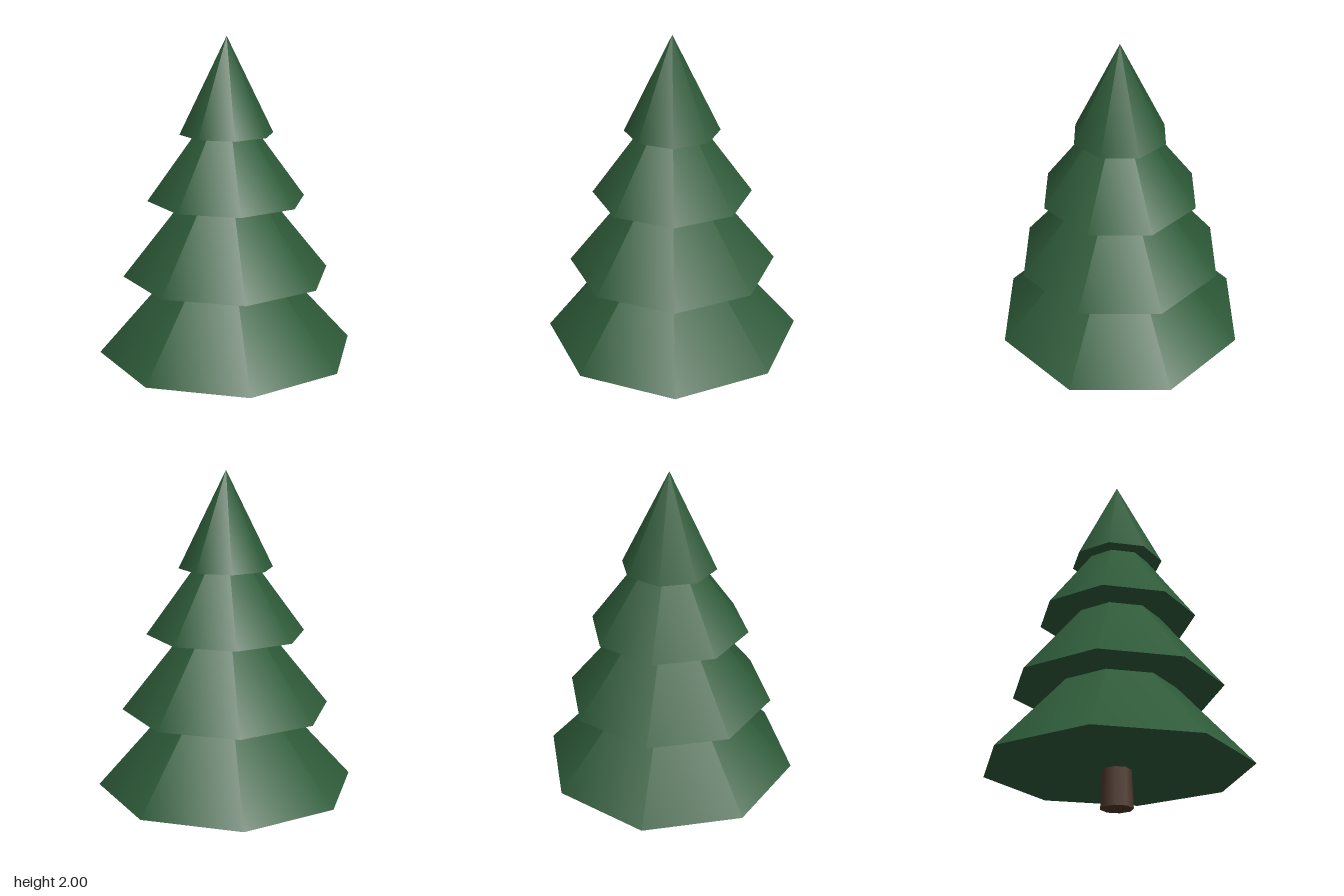
import * as THREE from 'three';

const SIDES = 8;

export function createModel() {
  const tree = new THREE.Group();
  tree.name = 'pineTree';

  const needles = new THREE.MeshStandardMaterial({ color: 0x2d5a38 });
  needles.name = 'needle green';
  const bark = new THREE.MeshStandardMaterial({ color: 0x4a3528 });
  bark.name = 'bark brown';

  // Slightly tapered trunk, running up into the lowest tier
  const trunkHeight = 0.4;
  const trunk = new THREE.Mesh(new THREE.CylinderGeometry(0.07, 0.09, trunkHeight, SIDES), bark);
  trunk.name = 'trunk';
  trunk.position.y = trunkHeight / 2;
  tree.add(trunk);

  // Overlapping foliage cones: base radius, base height, tip height
  const tiers = [
    [0.74, 0.21, 1.03],
    [0.595, 0.66, 1.4],
    [0.45, 1.095, 1.71],
    [0.265, 1.465, 2.0],
  ];
  tiers.forEach(([radius, base, tip], i) => {
    const cone = new THREE.Mesh(new THREE.ConeGeometry(radius, tip - base, SIDES), needles);
    cone.name = `foliageTier${i + 1}`;
    cone.position.y = (base + tip) / 2;
    tree.add(cone);
  });

  return tree;
}
